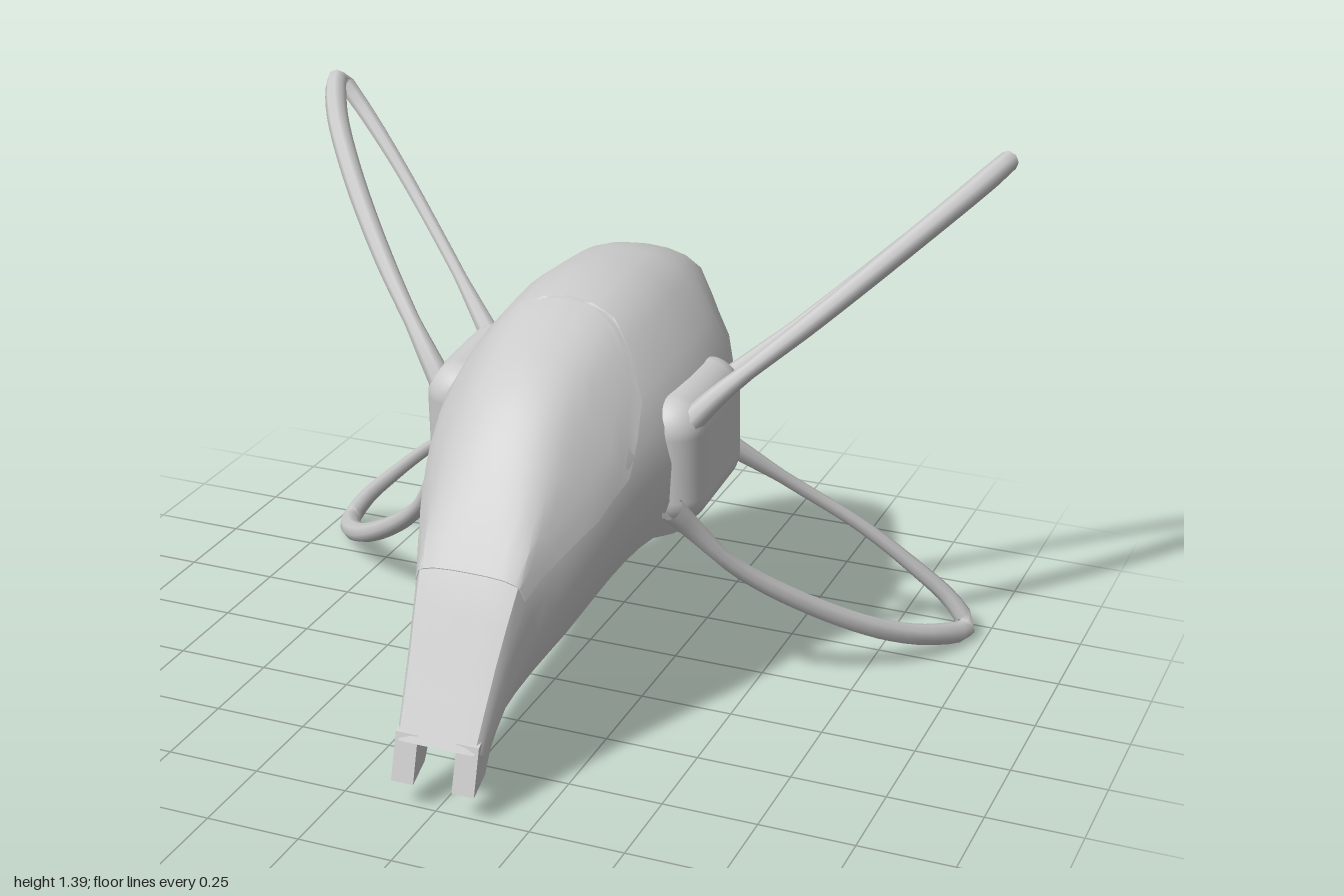
import * as THREE from 'three';
import { toCreasedNormals } from 'three/addons/utils/BufferGeometryUtils.js';
import { RoundedBoxGeometry } from 'three/addons/geometries/RoundedBoxGeometry.js';

const V = (x, y, z) => new THREE.Vector3(x, y, z);
const mat = new THREE.MeshStandardMaterial({ color: 0xcccccc, side: THREE.DoubleSide });

function add(parent, name, geo) {
  const mesh = new THREE.Mesh(geo, mat);
  mesh.name = name;
  parent.add(mesh);
  return mesh;
}

// Half cross-sections from top centre to bottom centre: [width share, drop share]
const ROUND = [[0, 0], [0.2, 0.012], [0.38, 0.05], [0.54, 0.12], [0.76, 0.27], [0.93, 0.42], [1, 0.6], [0.98, 0.8], [0.86, 1], [0, 1]];
const BOXY = [[0, 0], [0.3, 0], [0.6, 0.01], [0.85, 0.05], [0.92, 0.2], [0.96, 0.38], [1, 0.6], [1, 0.8], [0.88, 1], [0, 1]];
const LAST = ROUND.length - 1;

// A section is [topZ, topY, bottomZ, bottomY, halfWidth, boxiness]
function sectionPoint([tz, ty, bz, by, w, k], j) {
  const x = THREE.MathUtils.lerp(ROUND[j][0], BOXY[j][0], k);
  const d = THREE.MathUtils.lerp(ROUND[j][1], BOXY[j][1], k);
  return V(x * w, ty + (by - ty) * d, tz + (bz - tz) * d);
}

// Complete ring from a half ring
function mirrorRing(half) {
  const other = half.slice(1, -1).reverse().map(p => V(-p.x, p.y, p.z));
  return [...half, ...other];
}

// Skin over rows of points
function skin(rows, closed, crease) {
  const n = rows[0].length, idx = [];
  for (let i = 0; i < rows.length - 1; i++) {
    for (let j = 0; j < (closed ? n : n - 1); j++) {
      const k = (j + 1) % n, a = i * n + j, b = i * n + k;
      idx.push(a, b, a + n, b, b + n, a + n);
    }
  }
  const geo = new THREE.BufferGeometry().setFromPoints(rows.flat());
  geo.setIndex(idx);
  geo.computeVertexNormals();
  return toCreasedNormals(geo, crease);
}

const collapse = ring => {
  const c = ring.reduce((s, p) => s.add(p), V(0, 0, 0)).divideScalar(ring.length);
  return ring.map(() => c.clone());
};

const HULL = [
  [0.745, 0.18, 0.68, 0.165, 0.12, 1],
  [0.64, 0.38, 0.62, 0.235, 0.135, 1],
  [0.545, 0.565, 0.48, 0.295, 0.165, 0.85],
  [0.45, 0.7, 0.36, 0.35, 0.21, 0.4],
  [0.35, 0.825, 0.23, 0.41, 0.25, 0.15],
  [0.22, 0.945, 0.12, 0.455, 0.285, 0],
  [0.05, 1.02, 0, 0.475, 0.32, 0],
  [-0.1, 1.065, -0.1, 0.45, 0.345, 0],
  [-0.28, 1.085, -0.26, 0.47, 0.355, 0],
  [-0.42, 1.08, -0.42, 0.5, 0.34, 0],
  [-0.55, 1.065, -0.52, 0.54, 0.3, 0.1],
  [-0.655, 1.03, -0.585, 0.55, 0.24, 0.35],
];
const rails = ROUND.map((_, j) => new THREE.CatmullRomCurve3(HULL.map(s => sectionPoint(s, j))));

// Point on the hull at section s and profile position u
function hullPoint(s, u) {
  const j = Math.min(Math.floor(u), LAST - 1), t = s / (HULL.length - 1);
  return rails[j].getPoint(t).lerp(rails[j + 1].getPoint(t), u - j);
}

function hullGeometry() {
  const rows = [];
  for (let s = 0; s <= HULL.length - 1; s += 0.5) {
    rows.push(mirrorRing(rails.map((_, j) => hullPoint(s, j))));
  }
  rows.unshift(collapse(rows[0]));
  return skin(rows, true, 0.6);
}

// Raised canopy bounded by a seam: [section, profile reach]
function canopyGeometry() {
  const seam = [[2, 3.9], [3, 4.6], [4, 5.2], [5, 5.3], [6, 4.1], [6.5, 3.2], [6.85, 2], [7, 0.02]];
  const rows = [], steps = 10;
  const row = (s, reach, lift) => {
    const mid = hullPoint(s, 0).lerp(hullPoint(s, LAST), 0.5);
    const out = [];
    for (let j = -steps - 1; j <= steps + 1; j++) {
      const edge = Math.abs(j) > steps;
      const p = hullPoint(s, reach * Math.min(1, Math.abs(j) / steps));
      if (j < 0) p.x *= -1;
      out.push(p.sub(mid).multiplyScalar(edge ? 0.995 : lift).add(mid));
    }
    return out;
  };
  rows.push(row(seam[0][0], seam[0][1], 0.995));
  for (let i = 0; i < seam.length - 1; i++) {
    for (const f of [0, 0.5]) {
      const s = THREE.MathUtils.lerp(seam[i][0], seam[i + 1][0], f);
      rows.push(row(s, THREE.MathUtils.lerp(seam[i][1], seam[i + 1][1], f), 1.018));
    }
  }
  rows.push(row(7, 0.02, 1.01));
  return skin(rows, false, 0.6);
}

// Stepped rear rim with a recessed exhaust
function exhaustGeometry() {
  const rows = [
    HULL[HULL.length - 1],
    [-0.662, 0.985, -0.602, 0.56, 0.205, 0.35],
    [-0.655, 0.955, -0.6, 0.572, 0.185, 0.4],
    [-0.698, 0.94, -0.635, 0.58, 0.175, 0.5],
    [-0.698, 0.905, -0.638, 0.61, 0.145, 0.5],
    [-0.61, 0.87, -0.57, 0.64, 0.115, 0.5],
  ].map(s => mirrorRing(ROUND.map((_, j) => sectionPoint(s, j))));
  rows.push(collapse(rows[rows.length - 1]));
  return skin(rows, true, 0.5);
}

// Tube whose thickness follows evenly spaced radii
function wingGeometry(points, radii) {
  const curve = new THREE.CatmullRomCurve3(points.map(p => V(...p)));
  const segs = 48, sides = 8;
  const geo = new THREE.TubeGeometry(curve, segs, 1, sides);
  const pos = geo.attributes.position, p = V(0, 0, 0);
  for (let i = 0; i <= segs; i++) {
    const c = curve.getPointAt(i / segs), f = i / segs * (radii.length - 1);
    const k = Math.min(Math.floor(f), radii.length - 2);
    const r = THREE.MathUtils.lerp(radii[k], radii[k + 1], f - k);
    for (let j = 0; j <= sides; j++) {
      const n = i * (sides + 1) + j;
      p.fromBufferAttribute(pos, n).sub(c).multiplyScalar(r).add(c);
      pos.setXYZ(n, p.x, p.y, p.z);
    }
  }
  return geo;
}

const UPPER = [[0.34, 0.78, -0.05], [0.41, 0.86, -0.09], [0.61, 1.04, -0.25], [0.8, 1.215, -0.44], [0.92, 1.325, -0.6], [0.972, 1.372, -0.725],
  [0.93, 1.325, -0.728], [0.77, 1.18, -0.655], [0.55, 0.98, -0.52], [0.35, 0.8, -0.38]];
const LOWER = [[0.33, 0.57, 0.01], [0.37, 0.5, -0.04], [0.46, 0.375, -0.12], [0.61, 0.24, -0.25], [0.78, 0.12, -0.41], [0.89, 0.06, -0.55], [0.945, 0.036, -0.68],
  [0.9, 0.1, -0.685], [0.8, 0.2, -0.65], [0.66, 0.33, -0.585], [0.5, 0.465, -0.485], [0.34, 0.62, -0.35]];
const RADII = [0.034, 0.022, 0.026, 0.028, 0.029, 0.03, 0.024, 0.02, 0.018, 0.018, 0.03];

export function createModel() {
  const model = new THREE.Group();
  model.name = 'winged craft';
  add(model, 'hull', hullGeometry());
  add(model, 'canopy', canopyGeometry());
  add(model, 'exhaust', exhaustGeometry());

  // Forked nose tip, side profile in (z, y)
  const fork = new THREE.Shape([[0.62, 0.25], [0.7, 0.11], [0.768, 0.078], [0.735, 0.2]].map(p => new THREE.Vector2(...p)));
  for (const side of [1, -1]) {
    const half = new THREE.Group();
    half.name = side > 0 ? 'leftSide' : 'rightSide';
    const prong = new THREE.ExtrudeGeometry(fork, { depth: 0.06, bevelEnabled: false });
    prong.rotateY(-Math.PI / 2).translate(0.112, 0, 0);
    add(half, 'noseProng', prong);

    // Rounded pod carrying the wings
    const pod = add(half, 'wingPod', new RoundedBoxGeometry(0.2, 0.36, 0.41, 4, 0.09));
    pod.position.set(0.29, 0.68, -0.2);
    pod.rotation.x = 0.07;

    add(half, 'upperWing', wingGeometry(UPPER, RADII));
    add(half, 'lowerWing', wingGeometry(LOWER, RADII));
    half.scale.x = side;
    model.add(half);
  }
  return model;
}
